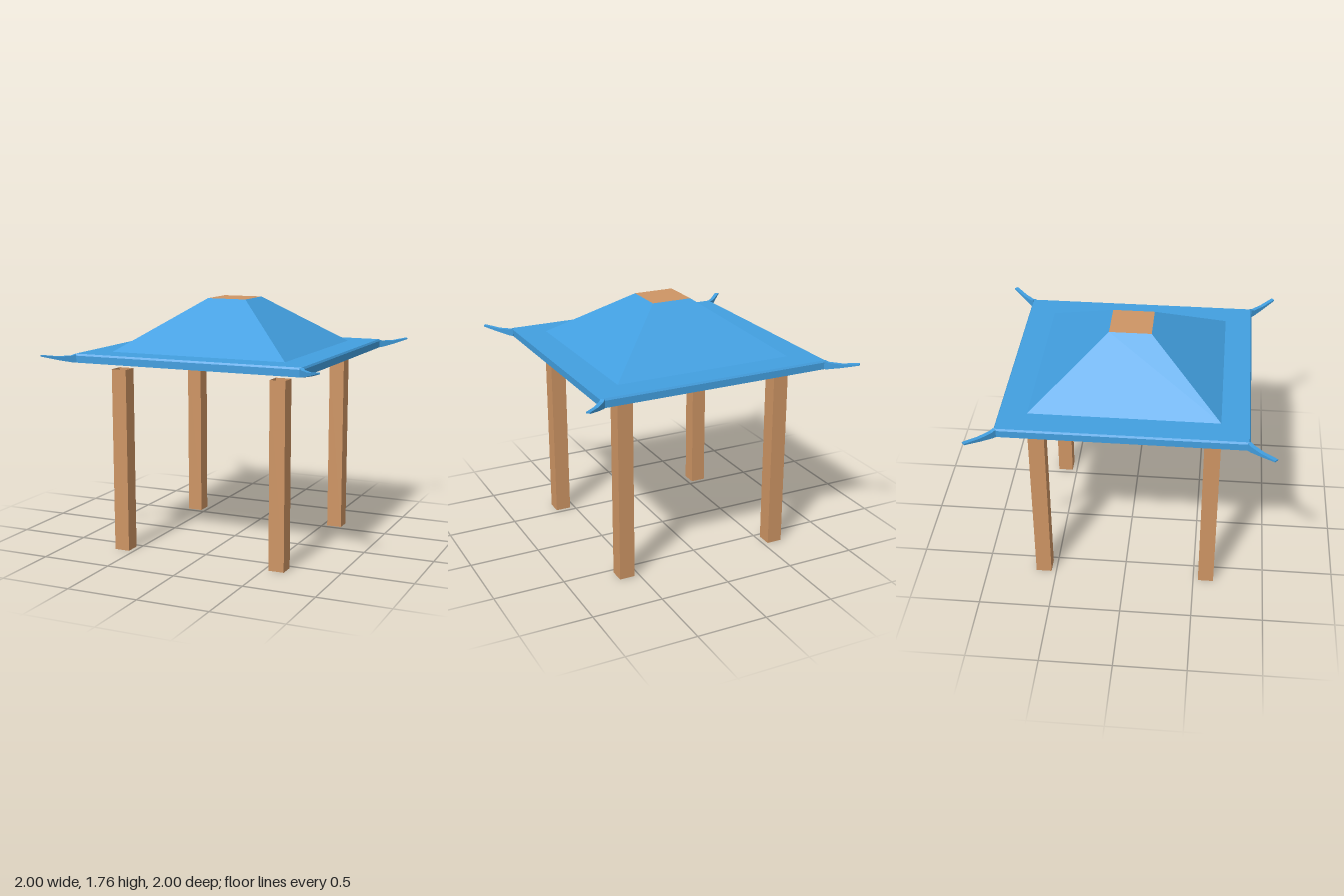
import * as THREE from 'three';

const blue = new THREE.MeshStandardMaterial({ name: 'roof blue', color: 0x429fe0, side: THREE.DoubleSide, flatShading: true });
const wood = new THREE.MeshStandardMaterial({ name: 'wood', color: 0xce9564, side: THREE.DoubleSide, flatShading: true });

// Square open shell: profile of [half width, height], from bottom to top
function squareShell(profile) {
  const points = profile.map(([half, y]) => new THREE.Vector2(half * Math.SQRT2, y));
  const geometry = new THREE.LatheGeometry(points, 4, Math.PI / 4).toNonIndexed();
  geometry.computeVertexNormals();
  return geometry;
}

function addMesh(parent, name, geometry, material) {
  const mesh = new THREE.Mesh(geometry, material);
  mesh.name = name;
  parent.add(mesh);
  return mesh;
}

export function createModel() {
  const model = new THREE.Group();
  model.name = 'pavilion';

  // Thin roof: rim, bevelled edge, flat eaves and hollow pyramid
  addMesh(model, 'roof', squareShell([
    [0.83, 1.355], [0.83, 1.403], [0.822, 1.416], [0.638, 1.416], [0.144, 1.765],
  ]), blue);

  // Flat wooden cap closing the pyramid
  const cap = addMesh(model, 'roofCap', new THREE.PlaneGeometry(0.288, 0.288), wood);
  cap.rotation.x = -Math.PI / 2;
  cap.position.y = 1.765;

  // Upturned corner horn, drawn along the diagonal
  const width = 0.028;
  const outline = [
    [0.822, 1.356], [0.84, 1.358], [0.905, 1.377], [0.99, 1.407],
    [0.99, 1.417], [0.905, 1.402], [0.84, 1.404], [0.822, 1.414],
  ].map(([d, y]) => new THREE.Vector2(d * Math.SQRT2, y));
  const horn = new THREE.ExtrudeGeometry(new THREE.Shape(outline), { depth: width, bevelEnabled: false });
  horn.translate(0, 0, -width / 2);

  // Hollow square post, open at the ends
  const post = squareShell([[0.055, 0], [0.055, 1.295]]);

  for (let i = 0; i < 4; i++) {
    const angle = Math.PI / 4 + i * Math.PI / 2;
    addMesh(model, 'cornerHorn', horn, blue).rotation.y = angle;
    const leg = addMesh(model, 'post', post, wood);
    leg.position.set(0.59 * Math.sign(Math.cos(angle)), 0, 0.59 * Math.sign(Math.sin(angle)));
  }
  return model;
}
